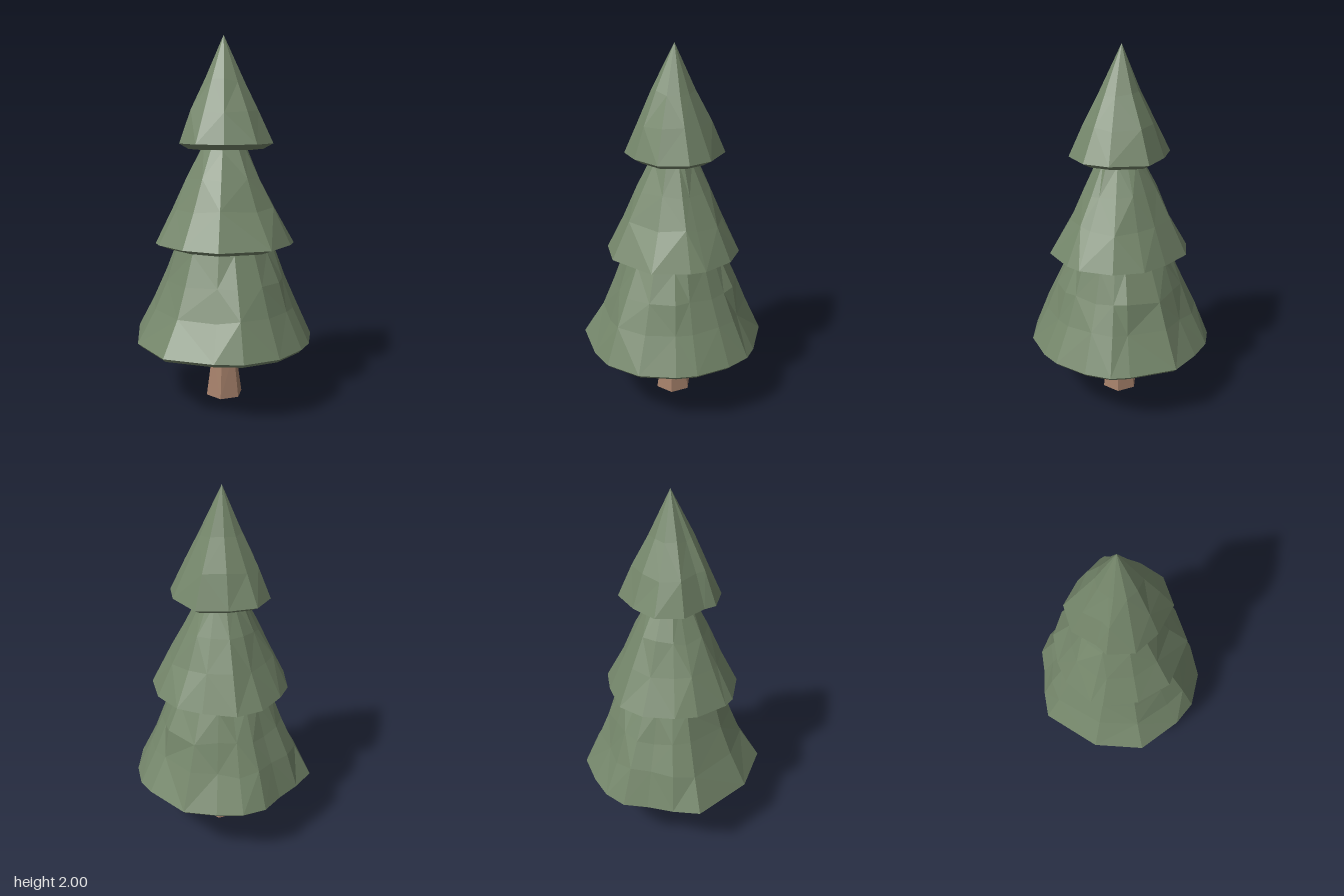
import * as THREE from 'three';

const GREEN = 0x74866a, BROWN = 0xa5806a;

// Small seeded generator, returns -1..1
function seeded(seed) {
  let s = seed;
  return () => {
    s = (s * 16807) % 2147483647;
    return (s / 2147483647) * 2 - 1;
  };
}

// Stacks scaled copies of an outline [x, z] at the given levels
// [y, scale, jitter, roundness]; scale 0 closes to a point.
function loft(name, outline, levels, color, seed, apex = [0, 0]) {
  const rnd = seeded(seed), n = outline.length;
  const mean = outline.reduce((t, [x, z]) => t + Math.hypot(x, z), 0) / n;
  const rings = levels.map(([y, scale, jitter = 0, round = 0]) => outline.map(([x, z]) => {
    if (scale === 0) return [apex[0], y, apex[1]];
    const r = Math.hypot(x, z);
    const k = scale * (1 + round * (mean / r - 1)) * (1 + jitter * rnd());
    return [x * k, y + jitter * 0.25 * rnd(), z * k];
  }));
  const pos = [];
  for (let l = 0; l < rings.length - 1; l++) {
    const a = rings[l], b = rings[l + 1];
    for (let i = 0; i < n; i++) {
      const j = (i + 1) % n;
      if (levels[l][1] === 0) pos.push(...a[i], ...b[i], ...b[j]);
      else if (levels[l + 1][1] === 0) pos.push(...a[i], ...b[i], ...a[j]);
      else if ((i + l) % 2) pos.push(...a[i], ...b[i], ...b[j], ...a[i], ...b[j], ...a[j]);
      else pos.push(...a[i], ...b[i], ...a[j], ...a[j], ...b[i], ...b[j]);
    }
  }
  const geo = new THREE.BufferGeometry();
  geo.setAttribute('position', new THREE.Float32BufferAttribute(pos, 3));
  geo.computeVertexNormals();
  const mesh = new THREE.Mesh(geo, new THREE.MeshStandardMaterial({ color, flatShading: true }));
  mesh.name = name;
  return mesh;
}

export function createModel() {
  const tree = new THREE.Group();
  tree.name = 'pineTree';

  // Six-sided trunk, flared at the foot
  const hexagon = Array.from({ length: 6 }, (_, i) => {
    const a = (i * Math.PI) / 3;
    return [0.105 * Math.cos(a), 0.104 * Math.sin(a)];
  });
  tree.add(loft('trunk', hexagon,
    [[0, 0], [0, 1], [0.25, 0.68, 0.04], [0.4, 0.66, 0.04], [0.4, 0]], BROWN, 11));

  // Bottom tier, wide flat underside
  const lowRim = [
    [-0.03, -0.51], [0.10, -0.50], [0.23, -0.44], [0.38, -0.34], [0.48, -0.10], [0.50, 0],
    [0.47, 0.14], [0.38, 0.31], [0.30, 0.39], [0.13, 0.49], [-0.07, 0.505], [-0.21, 0.45],
    [-0.43, 0.29], [-0.50, 0.01], [-0.415, -0.33], [-0.285, -0.40], [-0.15, -0.45],
  ];
  tree.add(loft('bottomFoliage', lowRim,
    [[0.33, 0], [0.33, 0.96], [0.35, 1], [0.54, 0.82, 0.05, 0.4], [0.70, 0.69, 0.05, 0.6],
      [0.86, 0.56, 0.03, 0.8], [0.95, 0.45, 0, 0.8], [0.95, 0]], GREEN, 271));

  // Middle tier, underside bevelled inward
  const midRim = [
    [-0.07, -0.37], [0.08, -0.37], [0.23, -0.265], [0.33, -0.16], [0.375, 0], [0.34, 0.18],
    [0.29, 0.25], [0.13, 0.37], [-0.15, 0.345], [-0.30, 0.21], [-0.38, 0.03], [-0.38, -0.04],
    [-0.31, -0.21], [-0.22, -0.29],
  ];
  tree.add(loft('middleFoliage', midRim,
    [[0.86, 0], [0.86, 0.8], [0.89, 1], [1.08, 0.74, 0.05, 0.4], [1.24, 0.53, 0.05, 0.6],
      [1.40, 0.32, 0.04, 0.8], [1.48, 0.24, 0, 0.8], [1.48, 0]], GREEN, 907));

  // Top tier, rising to the tip
  const topRim = [
    [-0.08, -0.265], [0.07, -0.24], [0.22, -0.17], [0.26, 0.03], [0.22, 0.165], [0.09, 0.26],
    [-0.08, 0.23], [-0.21, 0.155], [-0.26, 0.02], [-0.23, -0.04], [-0.20, -0.18],
  ];
  tree.add(loft('topFoliage', topRim,
    [[1.395, 0], [1.40, 0.8], [1.43, 1], [1.60, 0.73, 0.04, 0.3], [1.76, 0.42, 0.04, 0.4],
      [2, 0]], GREEN, 4513, [0, -0.01]));

  return tree;
}
